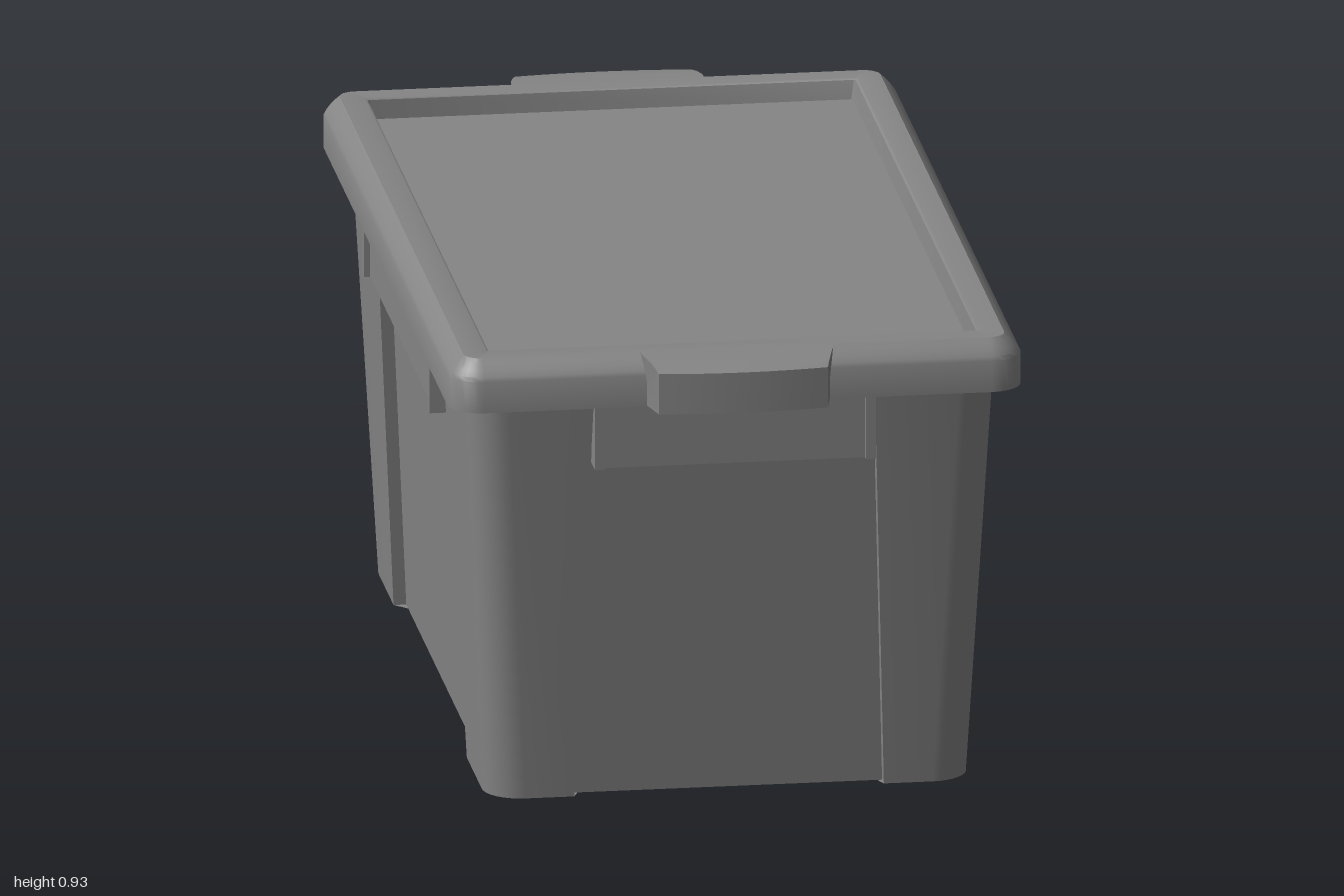
import * as THREE from 'three';
import { toCreasedNormals } from 'three/addons/utils/BufferGeometryUtils.js';

const material = new THREE.MeshStandardMaterial({ color: 0x858585, side: THREE.DoubleSide });

function addMesh(parent, name, geometry) {
  const mesh = new THREE.Mesh(geometry, material);
  mesh.name = name;
  parent.add(mesh);
  return mesh;
}

// Skins a stack of closed rings; a ring of identical points closes an end.
function loft(rings, crease = 0.6) {
  const positions = [];
  const same = (p, q) => p.every((v, k) => Math.abs(v - q[k]) < 1e-7);
  const tri = (a, b, c) => {
    if (!same(a, b) && !same(b, c) && !same(a, c)) positions.push(...a, ...b, ...c);
  };
  for (let i = 0; i < rings.length - 1; i++) {
    const lower = rings[i], upper = rings[i + 1], n = lower.length;
    for (let j = 0; j < n; j++) {
      const k = (j + 1) % n;
      tri(lower[j], upper[j], upper[k]);
      tri(lower[j], upper[k], lower[k]);
    }
  }
  const geometry = new THREE.BufferGeometry();
  geometry.setAttribute('position', new THREE.Float32BufferAttribute(positions, 3));
  geometry.computeVertexNormals();
  return toCreasedNormals(geometry, crease);
}

const collapse = (ring, point) => ring.map(() => point);

// Rounded rectangle ring; an optional recess sets each side back between corner posts.
function rectRing(hx, hz, r, y, recess) {
  const corner = [];
  if (recess) corner.push([hx - recess.depth, recess.z], [hx, recess.z]);
  for (let i = 0; i <= 8; i++) {
    const a = (i / 8) * Math.PI / 2;
    corner.push([hx - r + r * Math.cos(a), hz - r + r * Math.sin(a)]);
  }
  if (recess) corner.push([recess.x, hz], [recess.x, hz - recess.depth]);
  const mirror = (sx, sz) => {
    const pts = corner.map(([x, z]) => [x * sx, y, z * sz]);
    return sx * sz < 0 ? pts.reverse() : pts;
  };
  return [...mirror(1, 1), ...mirror(-1, 1), ...mirror(-1, -1), ...mirror(1, -1)];
}

// Tapered tub with four corner posts and set-back side panels
function tubGeometry() {
  const ring = (y) => {
    const t = y / 0.83;
    return rectRing(0.475 + 0.042 * t, 0.79 + 0.074 * t, 0.075, y,
      { depth: 0.025, x: 0.304 - 0.028 * t, z: 0.507 - 0.05 * t });
  };
  const bottom = ring(0);
  return loft([collapse(bottom, [0, 0, 0]), bottom, ring(0.86)]);
}

// Lid with a hanging skirt, bevelled rim and sunken top; profile is [inset, height]
function lidGeometry() {
  const profile = [
    [0.02, 0.86], [0.02, 0.828], [0, 0.828], [0, 0.891], [0.004, 0.899], [0.012, 0.91],
    [0.022, 0.921], [0.032, 0.93], [0.08, 0.93], [0.084, 0.927], [0.091, 0.89],
  ];
  const rings = profile.map(([o, y]) =>
    rectRing(0.563 - o, 0.92 - o, Math.max(0.065 - o, 0.004), y));
  return loft([collapse(rings[0], [0, 0.86, 0]), ...rings, collapse(rings[0], [0, 0.89, 0])]);
}

// Tapering end handle: top curves down to a crisp, slightly bowed outer edge
function handleGeometry() {
  const profile = [
    [0.87, 0.829], [1, 0.832], [1, 0.914], [0.985, 0.919],
    [0.965, 0.924], [0.94, 0.928], [0.91, 0.93], [0.87, 0.93],
  ];
  const rings = [];
  for (let i = 0; i <= 12; i++) {
    const u = i / 6 - 1;
    rings.push(profile.map(([z, y]) => {
      const out = Math.max(0, (z - 0.9) / 0.1);
      return [u * (0.19 - 0.024 * out), y, z - 0.012 * u * u * out];
    }));
  }
  const first = rings[0], last = rings[12];
  return loft([collapse(first, [-0.178, 0.87, 0.93]), ...rings, collapse(last, [0.178, 0.87, 0.93])]);
}

// Grip under the rim: a long strip between two projecting end tabs
function makeGrip(name, halfLength, inner, outer) {
  const grip = new THREE.Group();
  grip.name = name;
  const block = (partName, x, width, front) => {
    const mesh = addMesh(grip, partName, new THREE.BoxGeometry(width, 0.13, front - inner));
    mesh.position.set(x, 0.755, (front + inner) / 2);
  };
  block('gripStrip', 0, 2 * halfLength - 0.04, outer - 0.012);
  for (const s of [-1, 1]) block('gripTab', s * (halfLength - 0.01), 0.02, outer);
  return grip;
}

export function createModel() {
  const model = new THREE.Group();
  model.name = 'storageBox';
  addMesh(model, 'tub', tubGeometry());
  addMesh(model, 'lid', lidGeometry());

  // Handles and grips on opposite sides
  const handle = handleGeometry();
  for (const [side, turn] of [['front', 0], ['back', Math.PI]]) {
    addMesh(model, side + 'Handle', handle).rotation.y = turn;
    const grip = makeGrip(side + 'Grip', 0.276, 0.8, 0.88);
    grip.rotation.y = turn;
    model.add(grip);
  }
  for (const [side, turn] of [['left', Math.PI / 2], ['right', -Math.PI / 2]]) {
    const grip = makeGrip(side + 'Grip', 0.463, 0.46, 0.542);
    grip.rotation.y = turn;
    model.add(grip);
  }
  return model;
}
